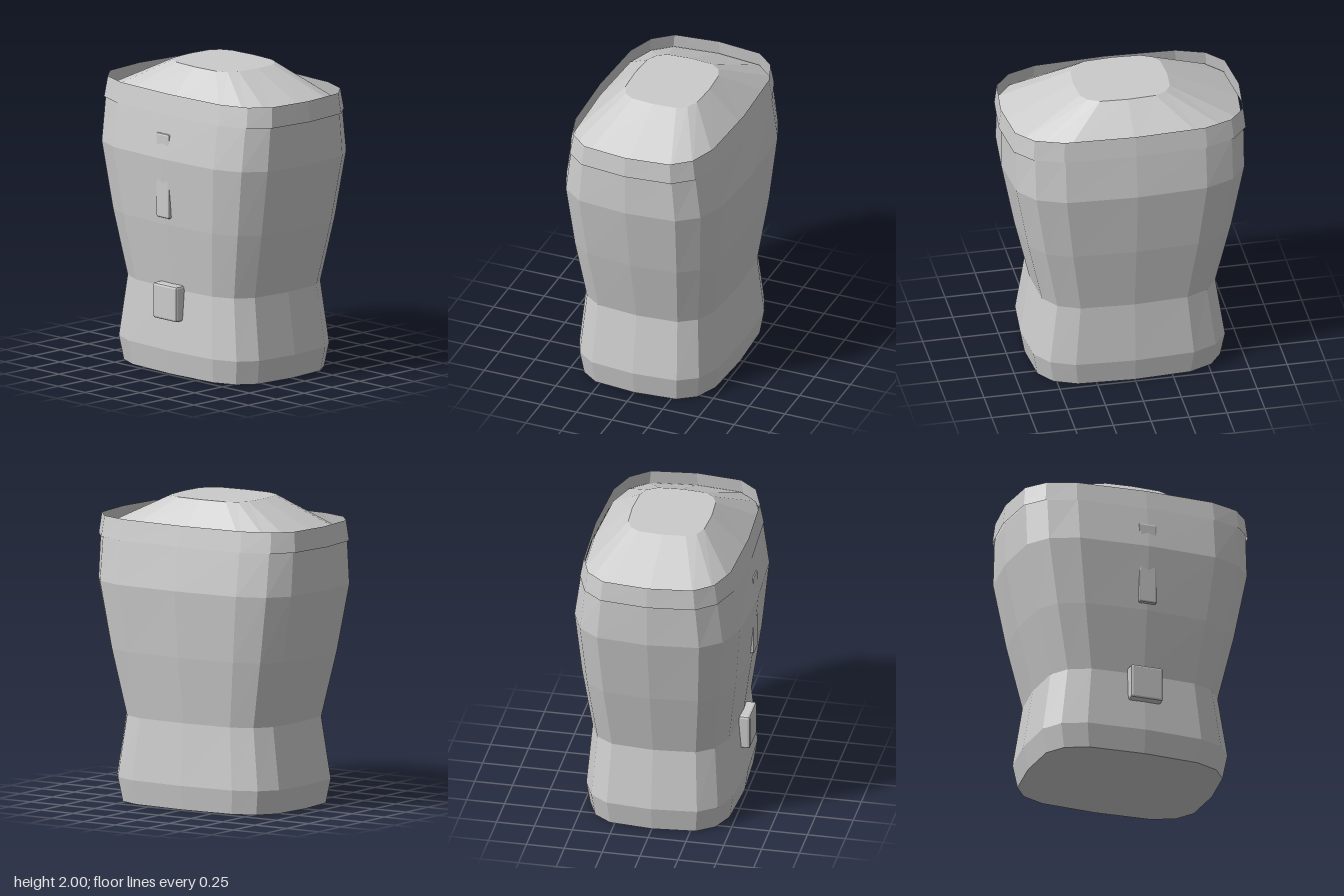
import * as THREE from 'three';
import { RoundedBoxGeometry } from 'three/addons/geometries/RoundedBoxGeometry.js';

const SIDES = 16;
const ROUNDNESS = 0.55; // exponent of the superellipse section

// Skin a stack of rounded-rectangle sections [y, half width, half depth], from the bottom up.
function loft(sections, capped) {
  const pos = [], index = [];
  const bow = (v) => (Math.abs(v) < 1e-6 ? 0 : Math.sign(v) * Math.abs(v) ** ROUNDNESS);
  for (const [y, w, d] of sections) {
    for (let i = 0; i < SIDES; i++) {
      const a = (i / SIDES) * Math.PI * 2;
      pos.push(w * bow(Math.cos(a)), y, d * bow(Math.sin(a)));
    }
  }
  const last = sections.length - 1;
  for (let j = 0; j < last; j++) {
    for (let i = 0; i < SIDES; i++) {
      const n = (i + 1) % SIDES;
      const a = j * SIDES + i, b = j * SIDES + n;
      index.push(a, a + SIDES, b, b, a + SIDES, b + SIDES);
    }
  }
  if (capped) {
    const bottom = pos.length / 3, top = bottom + 1;
    pos.push(0, sections[0][0], 0, 0, sections[last][0], 0);
    for (let i = 0; i < SIDES; i++) {
      const n = (i + 1) % SIDES;
      index.push(bottom, i, n, top, last * SIDES + n, last * SIDES + i);
    }
  }
  const geo = new THREE.BufferGeometry();
  geo.setAttribute('position', new THREE.Float32BufferAttribute(pos, 3));
  geo.setIndex(index);
  geo.computeVertexNormals();
  return geo;
}

export function createModel() {
  const group = new THREE.Group();
  const solid = new THREE.MeshStandardMaterial({ color: 0xcccccc, flatShading: true });
  const shell = solid.clone();
  shell.side = THREE.DoubleSide;

  const add = (name, geo, mat = solid, x = 0, y = 0, z = 0) => {
    const mesh = new THREE.Mesh(geo, mat);
    mesh.name = name;
    mesh.position.set(x, y, z);
    group.add(mesh);
  };

  // Torso: hips, waist, chest and sloping shoulders
  add('torso', loft([
    [0, 0.63, 0.48],
    [0.16, 0.66, 0.505],
    [0.565, 0.597, 0.47],
    [1.0, 0.7, 0.53],
    [1.44, 0.785, 0.57],
    [1.73, 0.785, 0.527],
    [1.775, 0.778, 0.505],
    [2.0, 0.31, 0.262],
  ], true));

  // Open band standing up around the shoulders
  add('collar', loft([
    [1.725, 0.8, 0.53],
    [1.86, 0.785, 0.505],
  ], false), shell);

  // Front fittings: a placket strip partly sunk in the chest, and a belt buckle
  add('placket', new RoundedBoxGeometry(0.12, 0.56, 0.08, 1, 0.012), solid, 0, 1.325, 0.515);
  add('buckle', new RoundedBoxGeometry(0.22, 0.235, 0.1, 1, 0.015), solid, 0, 0.483, 0.487);

  return group;
}
